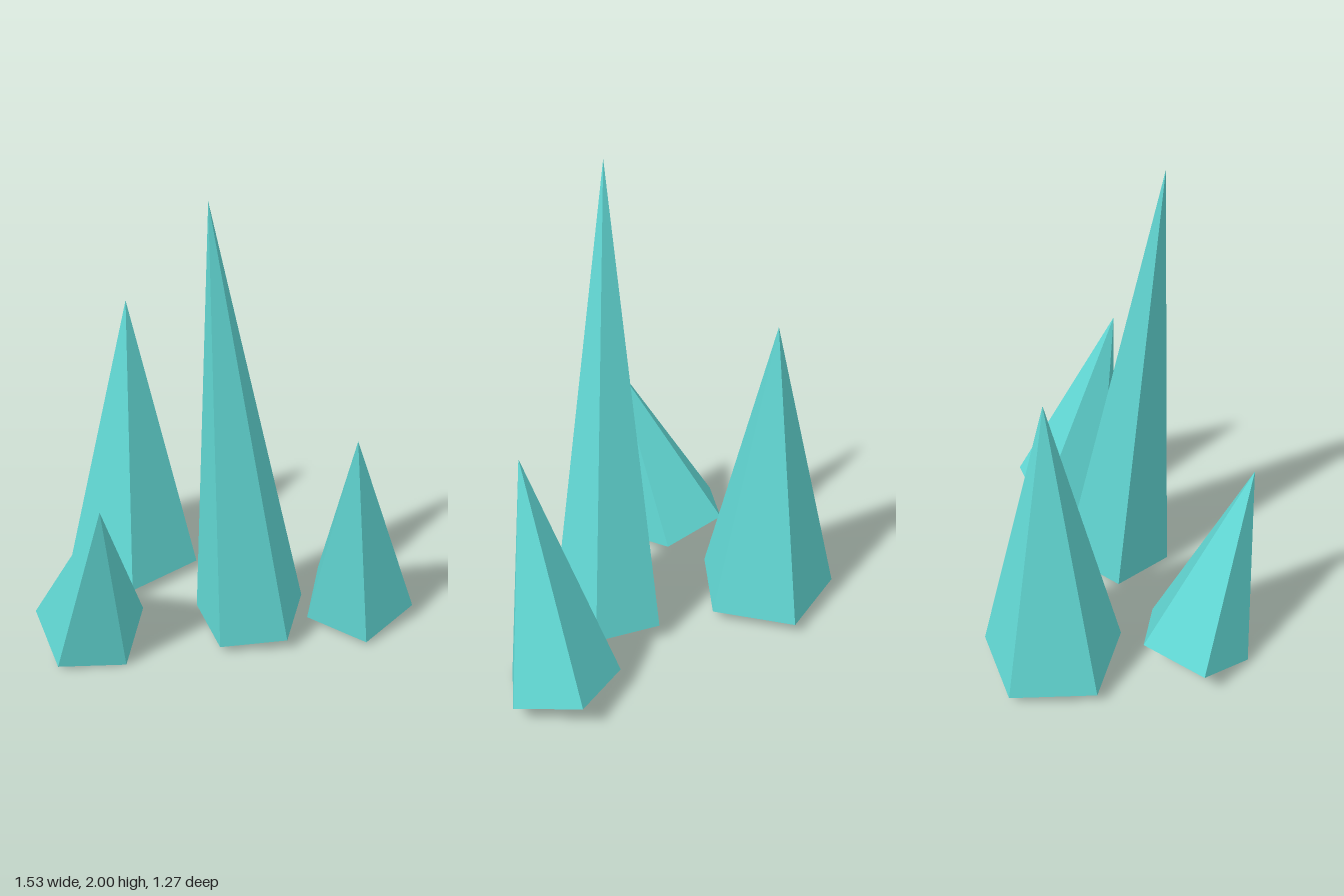
import * as THREE from 'three';

// Each crystal: base centre, tip, base radius and spin about its own axis (degrees)
const CRYSTALS = [
  { name: 'leftCrystal', base: [-0.48, 0.052, -0.147], tip: [-0.48, 1.327, -0.147], radius: 0.3, spin: 36 },
  { name: 'tallCrystal', base: [0.205, 0.061, -0.071], tip: [0.124, 2, 0.14], radius: 0.24, spin: 1 },
  { name: 'rightCrystal', base: [0.541, 0.069, -0.405], tip: [0.6, 1.014, -0.19], radius: 0.24, spin: 39 },
  { name: 'frontCrystal', base: [-0.294, 0.078, 0.402], tip: [-0.07, 0.855, 0.572], radius: 0.24, spin: 5 },
];

const UP = new THREE.Vector3(0, 1, 0);

// Five-sided spike standing on its base centre and leaning towards its tip
function createCrystal({ name, base, tip, radius, spin }, material) {
  const foot = new THREE.Vector3(...base);
  const axis = new THREE.Vector3(...tip).sub(foot);
  const height = axis.length();
  const geometry = new THREE.ConeGeometry(radius, height, 5);
  geometry.translate(0, height / 2, 0);
  geometry.rotateY(THREE.MathUtils.degToRad(spin));
  const crystal = new THREE.Mesh(geometry, material);
  crystal.name = name;
  crystal.position.copy(foot);
  crystal.quaternion.setFromUnitVectors(UP, axis.normalize());
  return crystal;
}

export function createModel() {
  const group = new THREE.Group();
  group.name = 'crystalCluster';
  const turquoise = new THREE.MeshStandardMaterial({ color: 0x62d9d5, flatShading: true });
  turquoise.name = 'turquoise';
  for (const spec of CRYSTALS) group.add(createCrystal(spec, turquoise));
  return group;
}
